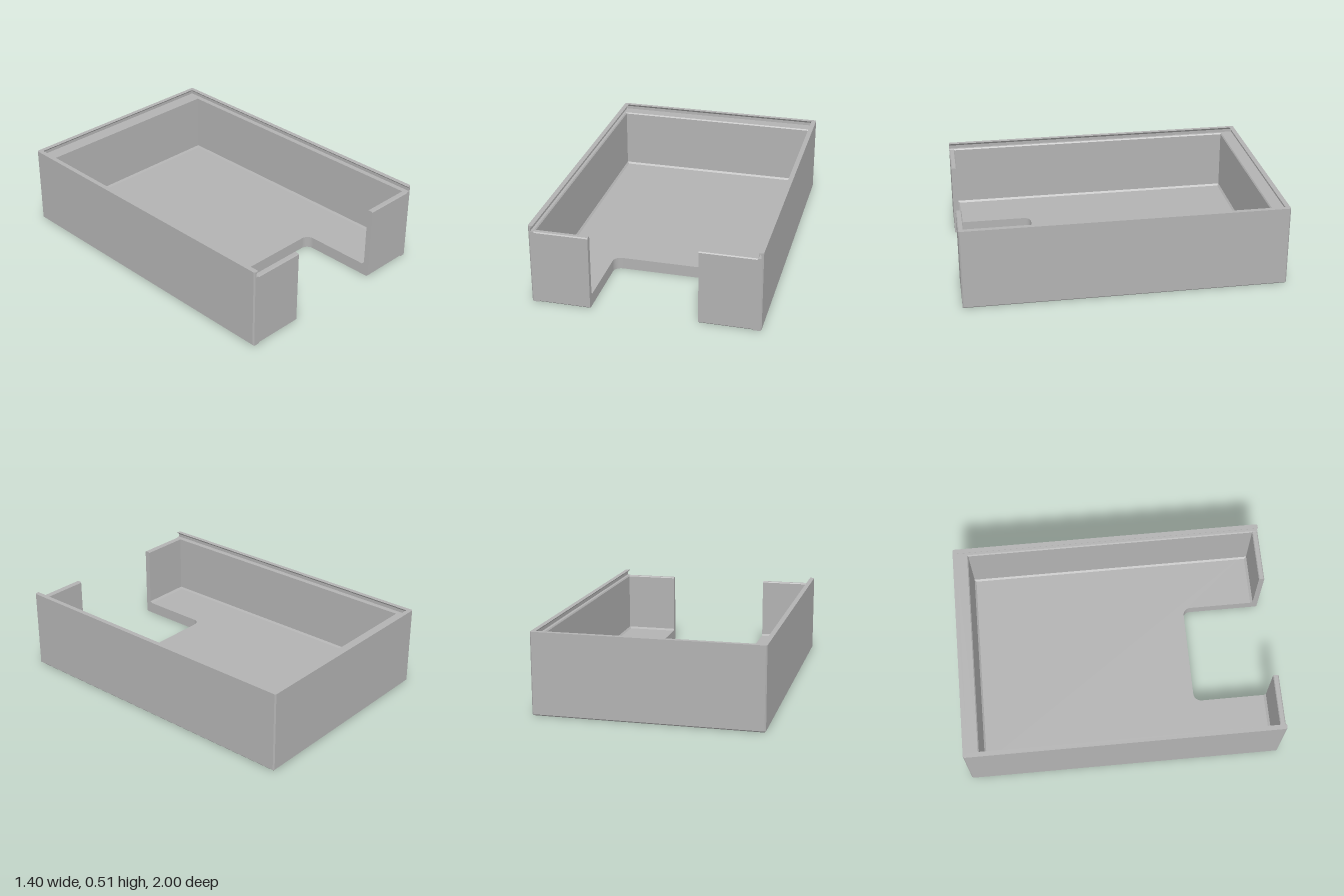
import * as THREE from 'three';

const W = 0.7, L = 1, C = 0.008; // half width, half length, edge bevel

// Wall section: [inset of side walls, inset of back wall, height]
const SECTION = [
  [C, C, 0], [0, 0, C], [0, 0, 0.51],
  [0.03, 0.03, 0.51], [0.014, 0.014, 0.494], [0.014, 0.014, 0.474], // undercut lid groove
  [0.03, 0.09, 0.474], [0.036, 0.096, 0.466],                      // ledge
  [0.036, 0.096, 0.086], [0.048, 0.108, 0.074],                    // inner face and floor bevel
];

// Corner points of the U-shaped wall path for one section point
function stations([dx, dz, y]) {
  const c = dx === 0 ? C : 0;
  const half = [
    [W - Math.max(dx, C), L], [W - dx, L - c],
    [W - dx, -L + dz + c], [W - dx - c, -L + dz],
  ];
  half[0][0] = Math.min(half[0][0], W - dx);
  const other = half.map(([x, z]) => [-x, z]).reverse();
  return [...half, ...other].map(([x, z]) => [x, y, z]);
}

function wallGeometry() {
  const rows = SECTION.map(stations), pos = [];
  for (let k = 0; k < rows.length - 1; k++) {
    for (let s = 0; s < rows[k].length - 1; s++) {
      const a = rows[k][s], b = rows[k][s + 1], c = rows[k + 1][s + 1], d = rows[k + 1][s];
      pos.push(...a, ...b, ...c, ...a, ...c, ...d);
    }
  }
  const g = new THREE.BufferGeometry();
  g.setAttribute('position', new THREE.Float32BufferAttribute(pos, 3));
  g.computeVertexNormals();
  return g;
}

export function createModel() {
  const model = new THREE.Group();
  const grey = new THREE.MeshStandardMaterial({ color: 0xb2b2b2 });
  grey.name = 'plain grey';
  const add = (geometry, name) => {
    const mesh = new THREE.Mesh(geometry, grey);
    mesh.name = name;
    model.add(mesh);
    return mesh;
  };

  // Side and back walls with the lid groove
  add(wallGeometry(), 'sideAndBackWalls');

  // Front ends of the side walls
  for (const side of [1, -1]) {
    const pts = SECTION.map(([dx, , y]) => new THREE.Vector2(side * (W - Math.max(dx, C)), y));
    pts.push(new THREE.Vector2(side * (W - 0.048), 0));
    add(new THREE.ShapeGeometry(new THREE.Shape(pts)), side > 0 ? 'leftWallEnd' : 'rightWallEnd')
      .position.z = L;
  }

  // Floor with a round-cornered notch at the front
  const x0 = -0.335, x1 = 0.325, zn = -0.49, r = 0.05, front = -0.96;
  const floor = new THREE.Shape();
  floor.moveTo(-W + C, L - C);
  floor.lineTo(-W + C, front);
  floor.lineTo(x0, front);
  floor.lineTo(x0, zn - r);
  floor.absarc(x0 + r, zn - r, r, Math.PI, Math.PI / 2, true);
  floor.absarc(x1 - r, zn - r, r, Math.PI / 2, 0, true);
  floor.lineTo(x1, front);
  floor.lineTo(W - C, front);
  floor.lineTo(W - C, L - C);
  const floorGeo = new THREE.ExtrudeGeometry(floor, { depth: 0.075, bevelEnabled: false, curveSegments: 10 });
  floorGeo.rotateX(-Math.PI / 2);
  add(floorGeo, 'floor');

  // Short front walls either side of the notch
  const frontSection = new THREE.Shape([
    [0.95, 0], [L - C, 0], [L, C], [L, 0.466], [0.994, 0.472], [0.97, 0.472],
    [0.965, 0.466], [0.965, 0.086], [0.95, 0.075],
  ].map(([z, y]) => new THREE.Vector2(z, y)));
  for (const [from, to, name] of [[x1, 0.668, 'leftFrontWall'], [-0.668, x0, 'rightFrontWall']]) {
    const g = new THREE.ExtrudeGeometry(frontSection, { depth: to - from, bevelEnabled: false });
    g.rotateY(-Math.PI / 2);
    add(g, name).position.x = to;
  }
  return model;
}
